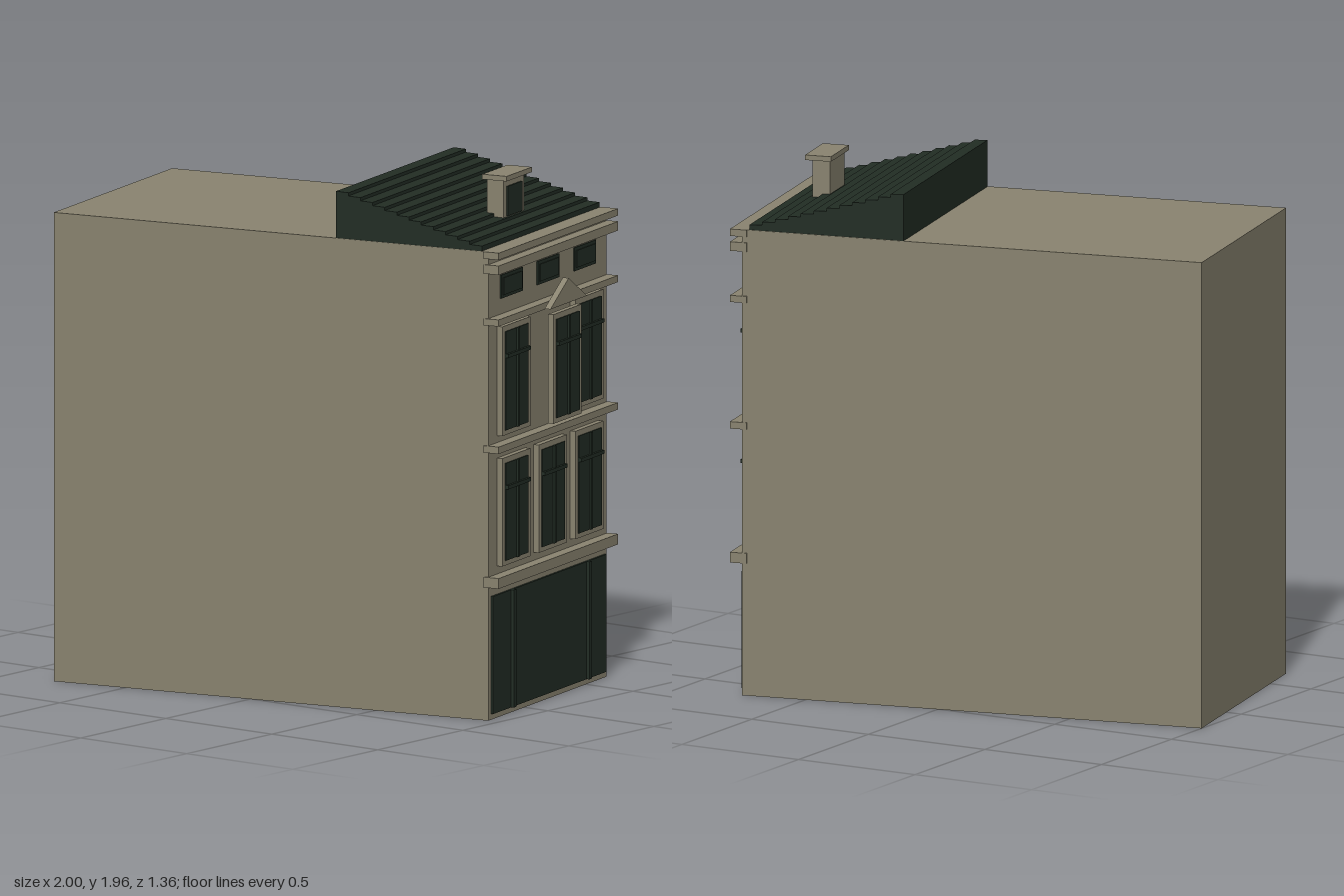
import * as THREE from 'three';

const stone = new THREE.MeshStandardMaterial({ color: 0x8a8470 });
stone.name = 'stone';
const darkGreen = new THREE.MeshStandardMaterial({ color: 0x222d24 });
darkGreen.name = 'dark green';

const FACE = 0.868; // plane of the street facade (local +x)
const BACK = -0.915;
const HALF = 0.492; // half of the facade width
const WALL_TOP = 1.755;

// Box given by its limits on each axis
function block(parent, name, material, [x0, x1], [y0, y1], [z0, z1]) {
  const mesh = new THREE.Mesh(new THREE.BoxGeometry(x1 - x0, y1 - y0, z1 - z0), material);
  mesh.position.set((x0 + x1) / 2, (y0 + y1) / 2, (z0 + z1) / 2);
  mesh.name = name;
  parent.add(mesh);
  return mesh;
}

// Flat shape (width, height) extruded outwards from the facade
function facadeExtrude(parent, name, material, shape, x, depth) {
  const geometry = new THREE.ExtrudeGeometry(shape, { depth, bevelEnabled: false });
  geometry.rotateY(Math.PI / 2);
  const mesh = new THREE.Mesh(geometry, material);
  mesh.position.x = x;
  mesh.name = name;
  parent.add(mesh);
}

function rectangle(Path, w, y0, y1) {
  return new Path([[-w, y0], [w, y0], [w, y1], [-w, y1]].map(p => new THREE.Vector2(...p)));
}

// Tall window: stone surround, dark pane, and a cross of glazing bars
function tallWindow(parent, z, x, y0, y1, barY) {
  const win = new THREE.Group();
  win.name = 'tallWindow';
  win.position.set(x, 0, z);
  const shape = rectangle(THREE.Shape, 0.117, y0 - 0.018, y1 + 0.021);
  shape.holes.push(rectangle(THREE.Path, 0.094, y0, y1));
  facadeExtrude(win, 'windowSurround', stone, shape, 0, 0.022);
  block(win, 'windowPane', darkGreen, [0, 0.026], [y0, y1], [-0.094, 0.094]);
  block(win, 'verticalBar', darkGreen, [0.026, 0.033], [y0, y1], [-0.006, 0.006]);
  block(win, 'crossBar', darkGreen, [0.026, 0.036], [barY - 0.007, barY + 0.007], [-0.094, 0.094]);
  parent.add(win);
}

export function createModel() {
  const model = new THREE.Group();
  model.name = 'townhouse';
  const house = new THREE.Group();
  house.name = 'house';
  house.rotation.y = 0.218;
  model.add(house);

  // Main volume
  block(house, 'walls', stone, [BACK, FACE], [0, WALL_TOP], [-HALF, HALF]);

  // Cornices and string courses
  for (const [y0, y1] of [[0.498, 0.537], [1.003, 1.029], [1.48, 1.505], [1.673, 1.707], [1.729, 1.755]]) {
    block(house, 'cornice', stone, [FACE - 0.02, 0.913], [y0, y1], [-0.497, 0.497]);
  }

  // Shopfront with two posts
  block(house, 'shopfront', darkGreen, [FACE, FACE + 0.009], [0.022, 0.462], [-0.472, 0.47]);
  for (const z of [-0.318, 0.31]) {
    block(house, 'shopPost', darkGreen, [FACE, FACE + 0.02], [0.022, 0.462], [z - 0.01, z + 0.01]);
  }

  // Two rows of tall windows; the upper middle one stands forward
  for (const z of [-0.305, 0, 0.303]) {
    tallWindow(house, z, FACE, 0.585, 0.95, 0.86);
    tallWindow(house, z, z === 0 ? FACE + 0.06 : FACE, 1.073, 1.443, 1.352);

    // Small attic window with a thin inner pane
    block(house, 'atticWindow', darkGreen, [FACE, FACE + 0.005], [1.564, 1.652], [z - 0.09, z + 0.09]);
    block(house, 'atticPane', darkGreen, [FACE, FACE + 0.009], [1.576, 1.64], [z - 0.078, z + 0.078]);
  }

  // Pediment over the upper middle window
  const gable = new THREE.Shape([[-0.152, 1.49], [0.152, 1.49], [0, 1.582]].map(p => new THREE.Vector2(...p)));
  facadeExtrude(house, 'pediment', stone, gable, 0.931, 0.024);

  // Lean-to roof with stepped rows of tiles
  const rows = 12, start = 0.242, end = 0.84, top = 1.93, eave = 1.762;
  const roof = new THREE.Shape();
  roof.moveTo(start, WALL_TOP);
  roof.lineTo(end, WALL_TOP);
  const run = (end - start) / rows, drop = (top - eave) / rows;
  for (let i = rows - 1; i >= 0; i--) {
    roof.lineTo(start + (i + 1) * run, top - i * drop - 0.002);
    roof.lineTo(start + i * run, top - i * drop);
  }
  roof.closePath();
  const roofGeometry = new THREE.ExtrudeGeometry(roof, { depth: 0.978, bevelEnabled: false });
  roofGeometry.translate(0, 0, -0.489);
  const roofMesh = new THREE.Mesh(roofGeometry, darkGreen);
  roofMesh.name = 'tiledRoof';
  house.add(roofMesh);

  // Dormer with its window and flat cap
  block(house, 'dormer', stone, [0.662, 0.73], [1.77, 1.946], [-0.086, 0.086]);
  block(house, 'dormerWindow', darkGreen, [0.73, 0.736], [1.806, 1.917], [-0.06, 0.06]);
  block(house, 'dormerCap', stone, [0.652, 0.752], [1.944, 1.963], [-0.105, 0.105]);

  return model;
}
